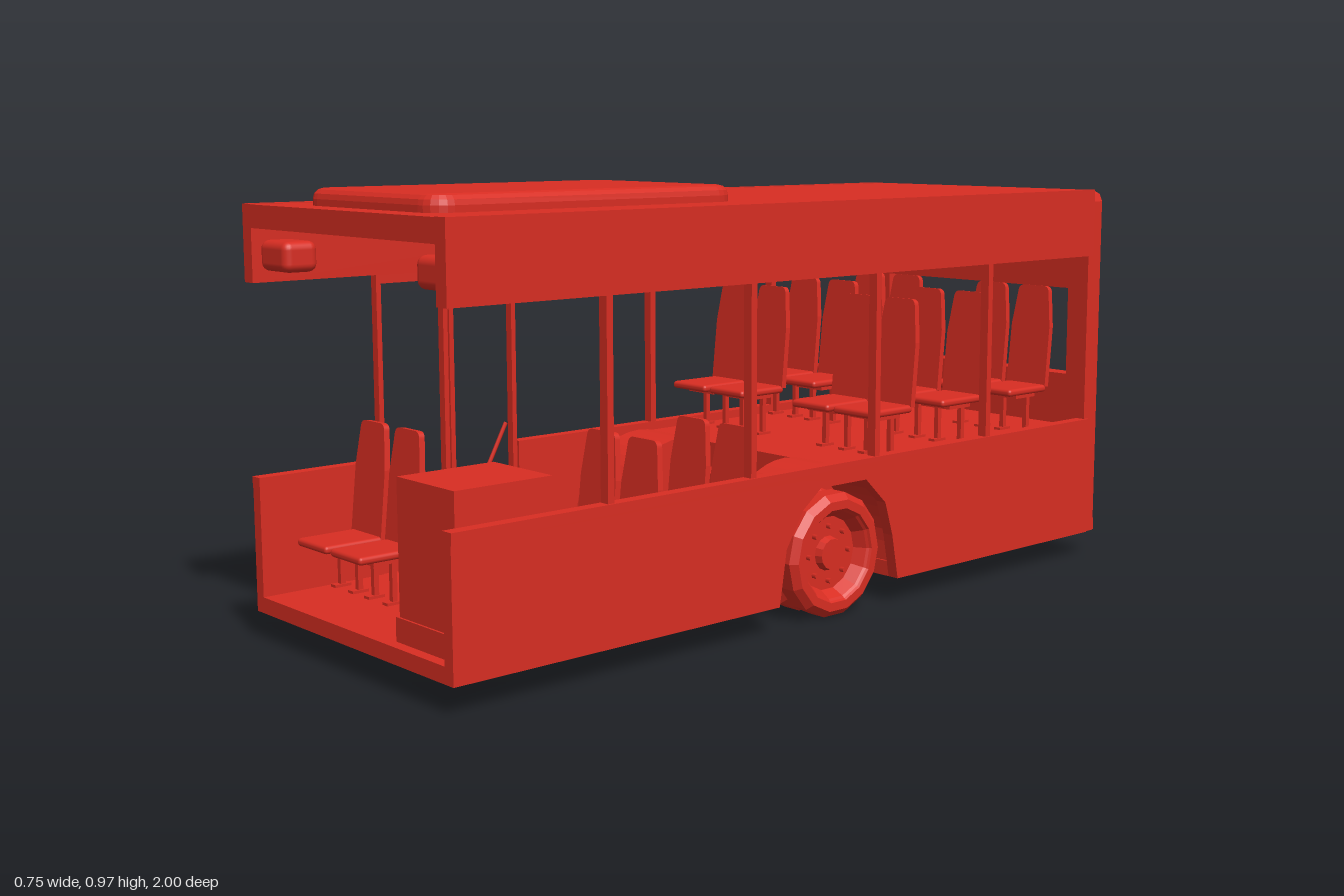
import * as THREE from 'three';
import { RoundedBoxGeometry } from 'three/addons/geometries/RoundedBoxGeometry.js';

const red = new THREE.MeshStandardMaterial({ color: 0xd82d22, side: THREE.DoubleSide });
red.name = 'red';

function add(parent, name, geometry) {
  const mesh = new THREE.Mesh(geometry, red);
  mesh.name = name;
  parent.add(mesh);
  return mesh;
}

// box given by its limits on each axis
function box(parent, name, x0, x1, y0, y1, z0, z1) {
  const g = new THREE.BoxGeometry(x1 - x0, y1 - y0, z1 - z0);
  g.translate((x0 + x1) / 2, (y0 + y1) / 2, (z0 + z1) / 2);
  return add(parent, name, g);
}

function polygon(points) {
  return new THREE.Shape(points.map(([a, b]) => new THREE.Vector2(a, b)));
}

function extrude(shape, depth) {
  return new THREE.ExtrudeGeometry(shape, { depth, bevelEnabled: false, curveSegments: 10 });
}

// outline in (z, y) given thickness from x0 to x1
function sideExtrude(shape, x0, x1) {
  return extrude(shape, x1 - x0).rotateY(-Math.PI / 2).translate(x1, 0, 0);
}

const WHEEL_Z = -0.05, WHEEL_Y = 0.145;

// one seat on two legs, facing the front
function makeSeat(x, floorY, z) {
  const seat = new THREE.Group();
  seat.name = 'seat';
  const s = new THREE.Shape();
  s.moveTo(-0.06, 0);
  s.lineTo(0.06, 0);
  s.lineTo(0.059, 0.15);
  s.lineTo(0.047, 0.235);
  s.quadraticCurveTo(0.045, 0.25, 0.03, 0.25);
  s.lineTo(-0.03, 0.25);
  s.quadraticCurveTo(-0.045, 0.25, -0.047, 0.235);
  s.lineTo(-0.059, 0.15);
  s.closePath();
  const back = add(seat, 'seatBack', extrude(s, 0.014));
  back.position.set(0, 0.112, 0.012);
  back.rotation.x = -0.1;
  const cushion = add(seat, 'seatCushion', new RoundedBoxGeometry(0.12, 0.018, 0.145, 2, 0.008));
  cushion.position.set(0, 0.109, 0.09);
  box(seat, 'seatFrame', -0.045, 0.045, 0.09, 0.1, 0.045, 0.12);
  for (const side of [-1, 1]) {
    const lx = side * 0.036;
    box(seat, 'seatLeg', lx - 0.006, lx + 0.006, 0.005, 0.095, 0.062, 0.074);
    box(seat, 'seatFoot', lx - 0.01, lx + 0.01, 0, 0.006, 0.05, 0.09);
  }
  seat.position.set(x, floorY, z);
  return seat;
}

function makeWheel(side) {
  const wheel = new THREE.Group();
  wheel.name = side > 0 ? 'leftWheel' : 'rightWheel';
  const lathe = (name, pts) => {
    const g = new THREE.LatheGeometry(pts.map(([r, h]) => new THREE.Vector2(r, h)), 14);
    g.rotateZ(-Math.PI / 2);
    const flat = g.toNonIndexed();
    flat.computeVertexNormals();
    return add(wheel, name, flat);
  };
  // twin tyres with chamfered shoulders
  for (const x of [0.203, 0.282]) {
    lathe('tyre', [[0.1, x], [0.128, x], [0.143, x + 0.014], [0.143, x + 0.058],
      [0.128, x + 0.073], [0.108, x + 0.073], [0.1, x + 0.06]]);
  }
  lathe('rim', [[0, 0.335], [0.035, 0.335], [0.04, 0.318], [0.085, 0.318], [0.1, 0.345], [0.11, 0.355]]);
  lathe('innerDisc', [[0, 0.215], [0.105, 0.215]]);
  for (let i = 0; i < 8; i++) {
    const a = (i / 8) * Math.PI * 2;
    const nut = add(wheel, 'wheelNut', new THREE.CylinderGeometry(0.006, 0.006, 0.014, 6).rotateZ(Math.PI / 2));
    nut.position.set(0.323, Math.cos(a) * 0.063, Math.sin(a) * 0.063);
  }
  wheel.position.set(0, WHEEL_Y, WHEEL_Z);
  wheel.scale.x = side;
  return wheel;
}

export function createModel() {
  const bus = new THREE.Group();
  bus.name = 'busSection';

  // lower side panels, notched for the wheels and for the door
  const arch = [[0.15, 0.065], [0.13, 0.19], [0.08, 0.27], [0.025, 0.312], [-0.12, 0.312],
    [-0.185, 0.25], [-0.21, 0.17], [-0.23, 0.065]];
  const wallEnd = [[-0.95, 0.065], [-0.95, 0.36], [0.32, 0.36]];
  const doorway = [[0.32, 0.09], [0.7, 0.09], [0.7, 0.36]];
  const front = [[1, 0.36], [1, 0.065]];
  add(bus, 'leftPanel', sideExtrude(polygon([...wallEnd, ...front, ...arch]), 0.342, 0.37));
  add(bus, 'rightPanel', sideExtrude(polygon([...wallEnd, ...doorway, ...front, ...arch]), -0.37, -0.342));

  // floor with cut-outs over the wheels
  const f = [[0.36, 1], [0.36, 0.15], [0.19, 0.15], [0.19, -0.23], [0.36, -0.23], [0.36, -0.96]];
  const floorShape = polygon([...f, ...f.slice().reverse().map(([x, z]) => [-x, z])]);
  add(bus, 'floor', extrude(floorShape, 0.035).rotateX(Math.PI / 2).translate(0, 0.1, 0));

  // steps and raised rear platform
  for (let i = 0; i < 4; i++) {
    box(bus, 'step', -0.19, 0.19, 0.1 + i * 0.06, 0.16 + i * 0.06, -0.14, 0.1 - i * 0.06);
  }
  box(bus, 'platform', -0.342, 0.342, 0.325, 0.34, -0.95, -0.08);

  for (const side of [-1, 1]) {
    const x = (a, b) => (side > 0 ? [a, b] : [-b, -a]);
    // curved wheel housing inside the body
    const hood = new THREE.Shape();
    hood.moveTo(WHEEL_Z + 0.2, 0.1);
    hood.lineTo(WHEEL_Z + 0.2, WHEEL_Y);
    hood.absarc(WHEEL_Z, WHEEL_Y, 0.2, 0, Math.PI, false);
    hood.lineTo(WHEEL_Z - 0.2, 0.1);
    hood.lineTo(WHEEL_Z - 0.185, 0.1);
    hood.lineTo(WHEEL_Z - 0.185, WHEEL_Y);
    hood.absarc(WHEEL_Z, WHEEL_Y, 0.185, Math.PI, 0, true);
    hood.lineTo(WHEEL_Z + 0.185, 0.1);
    add(bus, 'wheelHousing', sideExtrude(hood, ...x(0.185, 0.35)));
    const cap = new THREE.Shape();
    cap.moveTo(WHEEL_Z + 0.2, 0.08);
    cap.lineTo(WHEEL_Z + 0.2, WHEEL_Y);
    cap.absarc(WHEEL_Z, WHEEL_Y, 0.2, 0, Math.PI, false);
    cap.lineTo(WHEEL_Z - 0.2, 0.08);
    add(bus, 'wheelHousingWall', sideExtrude(cap, ...x(0.18, 0.19)));

    // upper band above the windows
    box(bus, 'roofBand', ...x(0.34, 0.374), 0.775, 0.94, -0.94, 1);
    if (side > 0) box(bus, 'windowSill', 0.345, 0.372, 0.335, 0.36, -0.94, 1);
    else {
      box(bus, 'windowSill', -0.372, -0.345, 0.335, 0.36, -0.94, 0.32);
      box(bus, 'windowSill', -0.372, -0.345, 0.335, 0.36, 0.7, 1);
    }

    // window posts
    const posts = side > 0 ? [0.615, 0.225, -0.16, -0.55] : [-0.1, -0.52];
    for (const z of posts) box(bus, 'windowPost', ...x(0.343, 0.366), 0.35, 0.785, z - 0.008, z + 0.008);

    // rounded units beneath the front of the roof
    const unit = add(bus, 'frontRoofUnit', new RoundedBoxGeometry(0.11, 0.065, 0.08, 3, 0.018));
    unit.position.set(side * 0.293, 0.832, 0.94);

    bus.add(makeWheel(side));

    // tail lamp strips
    box(bus, 'tailLampStrip', ...x(0.315, 0.358), 0.16, 0.4, -0.99, -0.97);
    for (let i = 0; i < 4; i++) {
      const y = 0.17 + i * 0.058;
      box(bus, 'tailLamp', ...x(0.321, 0.352), y, y + 0.045, -1, -0.985);
    }

    // raised rear seats
    for (const z of [-0.325, -0.575, -0.825]) {
      for (const sx of [0.145, 0.281]) bus.add(makeSeat(side * sx, 0.34, z));
    }
  }

  // low front seats, beside and opposite the door
  for (const sx of [0.145, 0.281]) {
    bus.add(makeSeat(-sx, 0.1, 0.755), makeSeat(sx, 0.1, 0.46), makeSeat(sx, 0.1, 0.205));
  }

  // cabinet behind the left front
  box(bus, 'cabinet', 0.145, 0.34, 0.15, 0.43, 0.74, 0.97);
  box(bus, 'cabinetBase', 0.138, 0.34, 0.1, 0.15, 0.74, 0.975);

  // two open door leaves
  for (const [z0, z1] of [[0.322, 0.508], [0.512, 0.698]]) {
    const leaf = polygon([[z0, 0.095], [z1, 0.095], [z1, 0.775], [z0, 0.775]]);
    leaf.holes.push(polygon([[z0 + 0.012, 0.12], [z0 + 0.012, 0.755], [z1 - 0.012, 0.755], [z1 - 0.012, 0.12]]));
    add(bus, 'doorLeaf', sideExtrude(leaf, -0.366, -0.346));
    const away = z0 < 0.4 ? 1 : -1, hinge = z0 < 0.4 ? z0 + 0.01 : z1 - 0.01;
    const rail = new THREE.LineCurve3(new THREE.Vector3(-0.335, 0.28, hinge + away * 0.1),
      new THREE.Vector3(-0.335, 0.41, hinge + away * 0.03));
    add(bus, 'doorHandle', new THREE.TubeGeometry(rail, 1, 0.005, 6));
  }

  // roof and its rounded hatch
  box(bus, 'roof', -0.35, 0.35, 0.89, 0.939, -0.95, 1);
  const hatch = new THREE.Shape();
  const w = 0.213, l = 0.368, r = 0.03;
  hatch.moveTo(-w + r, -l);
  hatch.lineTo(w - r, -l);
  hatch.quadraticCurveTo(w, -l, w, -l + r);
  hatch.lineTo(w, l - r);
  hatch.quadraticCurveTo(w, l, w - r, l);
  hatch.lineTo(-w + r, l);
  hatch.quadraticCurveTo(-w, l, -w, l - r);
  hatch.lineTo(-w, -l + r);
  hatch.quadraticCurveTo(-w, -l, -w + r, -l);
  const hatchGeometry = new THREE.ExtrudeGeometry(hatch,
    { depth: 0.02, bevelThickness: 0.022, bevelSize: 0.022, bevelSegments: 3, curveSegments: 5 });
  add(bus, 'roofHatch', hatchGeometry.rotateX(-Math.PI / 2).translate(0, 0.933, 0.543));

  // rear wall with its window
  const rear = polygon([[-0.365, 0.065], [0.365, 0.065], [0.365, 0.91], [0.357, 0.928], [0.34, 0.936],
    [-0.34, 0.936], [-0.357, 0.928], [-0.365, 0.91]]);
  rear.holes.push(polygon([[-0.305, 0.47], [-0.305, 0.69], [0.305, 0.69], [0.305, 0.47]]));
  add(bus, 'rearWall', extrude(rear, 0.05).translate(0, 0, -0.983));
  box(bus, 'rearPanel', -0.275, 0.275, 0.78, 0.85, -0.99, -0.98);
  box(bus, 'innerRearRail', -0.275, 0.275, 0.86, 0.875, -0.935, -0.91);
  box(bus, 'rearBumper', -0.355, 0.355, 0.063, 0.092, -1, -0.96);

  return bus;
}
